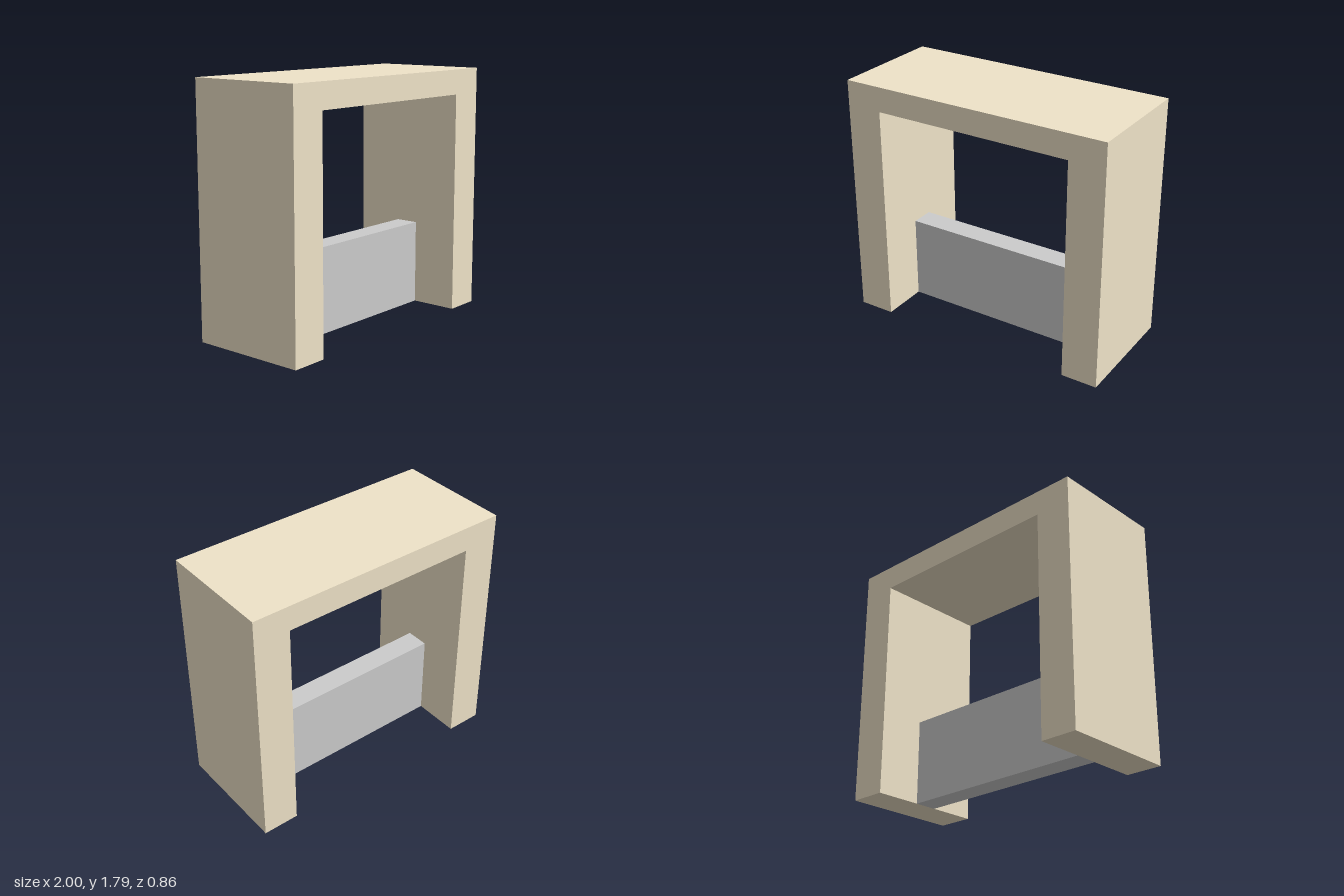
import * as THREE from 'three';

const WIDTH = 2, HEIGHT = 1.79, DEPTH = 0.86;
const OPENING_WIDTH = 1.47, OPENING_HEIGHT = 1.61;
const PANEL_HEIGHT = 0.62, PANEL_DEPTH = 0.17;

export function createModel() {
  const group = new THREE.Group();

  // Portal frame: two legs and a lintel as one extruded outline
  const w = WIDTH / 2, o = OPENING_WIDTH / 2;
  const outline = new THREE.Shape([
    [-w, 0], [-o, 0], [-o, OPENING_HEIGHT], [o, OPENING_HEIGHT],
    [o, 0], [w, 0], [w, HEIGHT], [-w, HEIGHT],
  ].map(([x, y]) => new THREE.Vector2(x, y)));
  const frameGeometry = new THREE.ExtrudeGeometry(outline, { depth: DEPTH, bevelEnabled: false });
  frameGeometry.translate(0, 0, -DEPTH / 2);
  const frame = new THREE.Mesh(frameGeometry, new THREE.MeshStandardMaterial({ color: 0xefe3c8 }));
  frame.name = 'portalFrame';
  group.add(frame);

  // Low cross panel standing between the legs
  const panel = new THREE.Mesh(
    new THREE.BoxGeometry(OPENING_WIDTH, PANEL_HEIGHT, PANEL_DEPTH),
    new THREE.MeshStandardMaterial({ color: 0xcccccc }),
  );
  panel.name = 'crossPanel';
  panel.position.y = PANEL_HEIGHT / 2;
  group.add(panel);

  return group;
}
